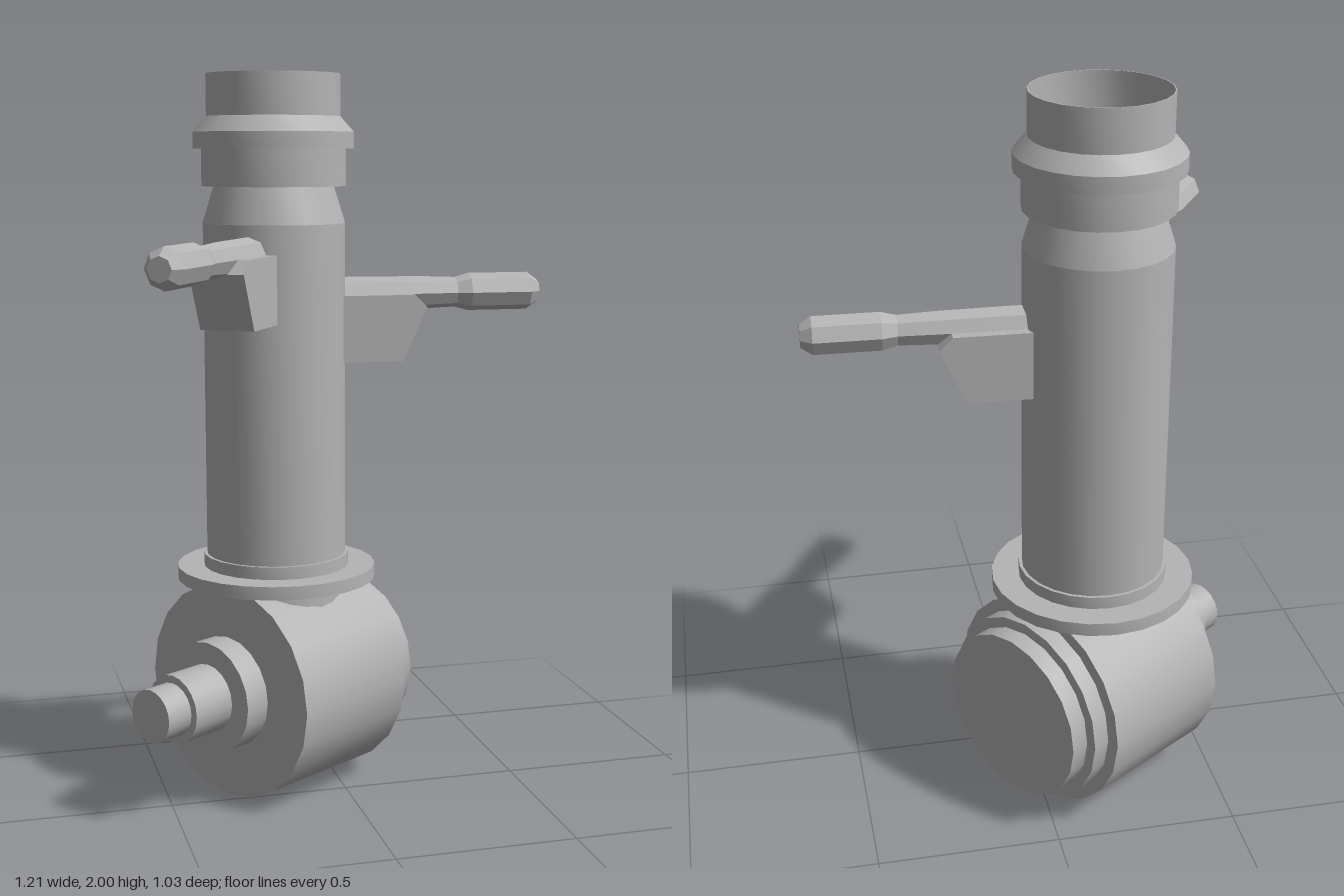
import * as THREE from 'three';
import { toCreasedNormals } from 'three/addons/utils/BufferGeometryUtils.js';

const steel = new THREE.MeshStandardMaterial({ color: 0xb4b4b4 });
steel.name = 'grey steel';

function addMesh(parent, name, geometry, crease = 0.5) {
  const mesh = new THREE.Mesh(toCreasedNormals(geometry, crease), steel);
  mesh.name = name;
  parent.add(mesh);
  return mesh;
}

// Turned part from [radius, height] pairs, listed bottom to top
function turned(points, sides) {
  return new THREE.LatheGeometry(points.map(([r, y]) => new THREE.Vector2(r, y)), sides);
}

// Turned part lying along +x
function turnedAlongX(points, sides) {
  return turned(points, sides).rotateZ(-Math.PI / 2);
}

// Radial handle on its support block
function makeArm(name, height, angle) {
  const arm = new THREE.Group();
  arm.name = name;
  arm.position.y = height;
  arm.rotation.y = angle;

  addMesh(arm, 'handle', turnedAlongX([
    [0, 0.16], [0.048, 0.16], [0.046, 0.42], [0.042, 0.52], [0.053, 0.56],
    [0.053, 0.735], [0.032, 0.765], [0, 0.765],
  ], 8), 0.1);

  const side = new THREE.Shape([
    [0.14, -0.185], [0.35, -0.185], [0.42, -0.035], [0.385, 0], [0.14, 0],
  ].map(([x, y]) => new THREE.Vector2(x, y)));
  const block = new THREE.ExtrudeGeometry(side, { depth: 0.15, bevelEnabled: false });
  addMesh(arm, 'supportBlock', block.translate(0, 0, -0.075), 0.1);
  return arm;
}

export function createModel() {
  const model = new THREE.Group();
  model.name = 'pipeColumn';
  const body = new THREE.Group();
  body.name = 'body';
  body.position.set(-0.165, 0, -0.147);
  model.add(body);

  // Upright column
  addMesh(body, 'neck', turned([[0.187, 0.35], [0.187, 0.61]], 24));
  addMesh(body, 'flange', turned([
    [0, 0.603], [0.28, 0.603], [0.28, 0.64], [0.205, 0.64], [0.205, 0.675], [0.15, 0.675],
  ], 24));
  addMesh(body, 'column', turned([[0.196, 0.67], [0.196, 1.6], [0.165, 1.7]], 24), 0.29);
  addMesh(body, 'collar', turned([
    [0.15, 1.7], [0.198, 1.7], [0.198, 1.8], [0.22, 1.8], [0.22, 1.845], [0.183, 1.887],
  ], 24));
  // Open mouth with a floor inside
  addMesh(body, 'mouth', turned([
    [0.183, 1.88], [0.183, 2], [0.18, 2], [0.18, 1.87], [0.165, 1.87], [0.165, 1.85], [0, 1.85],
  ], 24));

  // Horizontal drum with a stepped cap and a stepped shaft
  const drum = new THREE.Group();
  drum.name = 'drumAssembly';
  drum.position.y = 0.305;
  drum.rotation.y = 0.576;
  body.add(drum);
  addMesh(drum, 'drum', turnedAlongX([[0, -0.198], [0.305, -0.198], [0.305, 0.21], [0, 0.21]], 20));
  addMesh(drum, 'endCap', turnedAlongX([
    [0.27, 0.2], [0.27, 0.261], [0.24, 0.261], [0.24, 0.314], [0, 0.314],
  ], 20));
  addMesh(drum, 'shaft', turnedAlongX([
    [0, -0.485], [0.074, -0.485], [0.074, -0.405], [0.095, -0.405], [0.095, -0.274],
    [0.157, -0.274], [0.157, -0.19],
  ], 20));

  // Two radial arms
  body.add(makeArm('leftArm', 1.4, -0.033));
  body.add(makeArm('rightArm', 1.522, Math.atan2(-0.838, -0.546)));
  return model;
}
